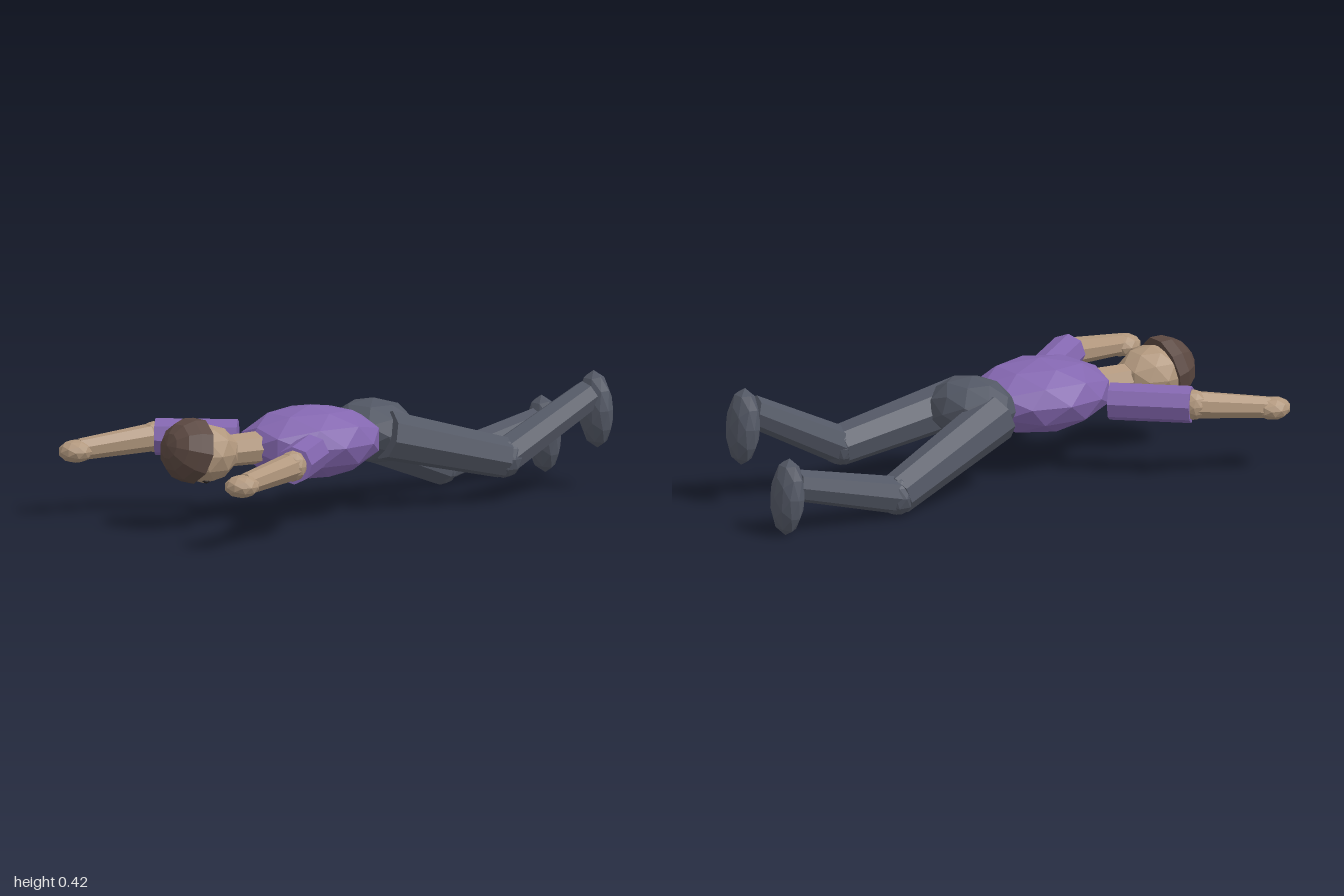
import * as THREE from 'three';

const mat = (name, color) => {
  const m = new THREE.MeshStandardMaterial({ color, flatShading: true });
  m.name = name;
  return m;
};

export function createModel() {
  const purple = mat('purpleShirt', 0x8467b0);
  const slate = mat('slateTrousers', 0x535865);
  const skin = mat('skin', 0xb1977d);
  const brown = mat('brownHair', 0x5b4841);
  const dark = mat('darkEyes', 0x2a2422);

  const root = new THREE.Group();
  root.name = 'floatingFigure';
  const V = (p) => new THREE.Vector3(...p);

  const add = (name, geometry, material, parent = root) => {
    const mesh = new THREE.Mesh(geometry, material);
    mesh.name = name;
    parent.add(mesh);
    return mesh;
  };

  // Faceted ellipsoid
  const blob = (name, pos, radii, material, parent) => {
    const mesh = add(name, new THREE.IcosahedronGeometry(1, 1), material, parent);
    mesh.position.set(...pos);
    mesh.scale.set(...radii);
    return mesh;
  };

  // Eight-sided tapered limb running from a to b
  const limb = (name, a, b, ra, rb, material, parent) => {
    const dir = V(b).sub(V(a));
    const mesh = add(name, new THREE.CylinderGeometry(rb, ra, dir.length(), 8), material, parent);
    mesh.position.copy(V(a).add(V(b)).multiplyScalar(0.5));
    mesh.quaternion.setFromUnitVectors(new THREE.Vector3(0, 1, 0), dir.normalize());
    return mesh;
  };

  // Body
  blob('torso', [0, 0.27, 0.275], [0.21, 0.13, 0.27], purple);
  blob('pelvis', [-0.045, 0.275, -0.03], [0.17, 0.115, 0.14], slate).rotation.y = 0.18;
  limb('neck', [0, 0.27, 0.5], [0, 0.27, 0.66], 0.058, 0.055, skin);

  // Head faces down, with the crown toward +z
  const head = new THREE.Group();
  head.name = 'head';
  root.add(head);
  blob('face', [0, 0.272, 0.735], [0.113, 0.105, 0.13], skin, head);
  const hair = add('hair', new THREE.SphereGeometry(0.118, 10, 4, 0, Math.PI * 2, 0, Math.PI / 2), brown, head);
  hair.position.set(0, 0.284, 0.778);
  hair.rotation.x = Math.PI / 2 - 0.24;
  const under = add('hairUnderside', new THREE.CircleGeometry(0.118, 10), brown, head);
  under.position.copy(hair.position);
  under.rotation.x = Math.PI - 0.24;
  for (const s of [-1, 1]) {
    blob(s > 0 ? 'leftEye' : 'rightEye', [s * 0.042, 0.181, 0.755], [0.012, 0.008, 0.012], dark, head);
  }

  // Arms reach forward and outward
  for (const s of [1, -1]) {
    const arm = new THREE.Group();
    arm.name = s > 0 ? 'leftArm' : 'rightArm';
    root.add(arm);
    const shoulder = [s * 0.212, 0.27, 0.43];
    const elbow = [s * 0.402, 0.27, 0.645];
    const wrist = [s * 0.482, 0.24, 0.91];
    limb('upperArm', shoulder, elbow, 0.066, 0.066, purple, arm);
    blob('elbow', [s * 0.406, 0.27, 0.65], [0.05, 0.055, 0.05], skin, arm);
    limb('forearm', elbow, wrist, 0.05, 0.038, skin, arm);
    blob('hand', [s * 0.485, 0.235, 0.927], [0.056, 0.041, 0.065], skin, arm);
  }

  // Legs trail behind with bent knees
  const legs = [
    { name: 'leftLeg', hip: [0.068, 0.275, 0], knee: [0.138, 0.162, -0.455],
      ankle: [0.125, 0.345, -0.83], foot: [0.124, 0.293, -0.863] },
    { name: 'rightLeg', hip: [-0.155, 0.265, 0], knee: [-0.272, 0.083, -0.485],
      ankle: [-0.285, 0.185, -0.91], foot: [-0.285, 0.147, -0.94] },
  ];
  for (const { name, hip, knee, ankle, foot } of legs) {
    const leg = new THREE.Group();
    leg.name = name;
    root.add(leg);
    limb('thigh', hip, knee, 0.088, 0.073, slate, leg);
    blob('knee', knee, [0.07, 0.072, 0.07], slate, leg);
    limb('shin', knee, ankle, 0.066, 0.056, slate, leg);
    blob('foot', foot, [0.075, 0.137, 0.055], slate, leg).rotation.x = 0.06;
  }
  return root;
}
